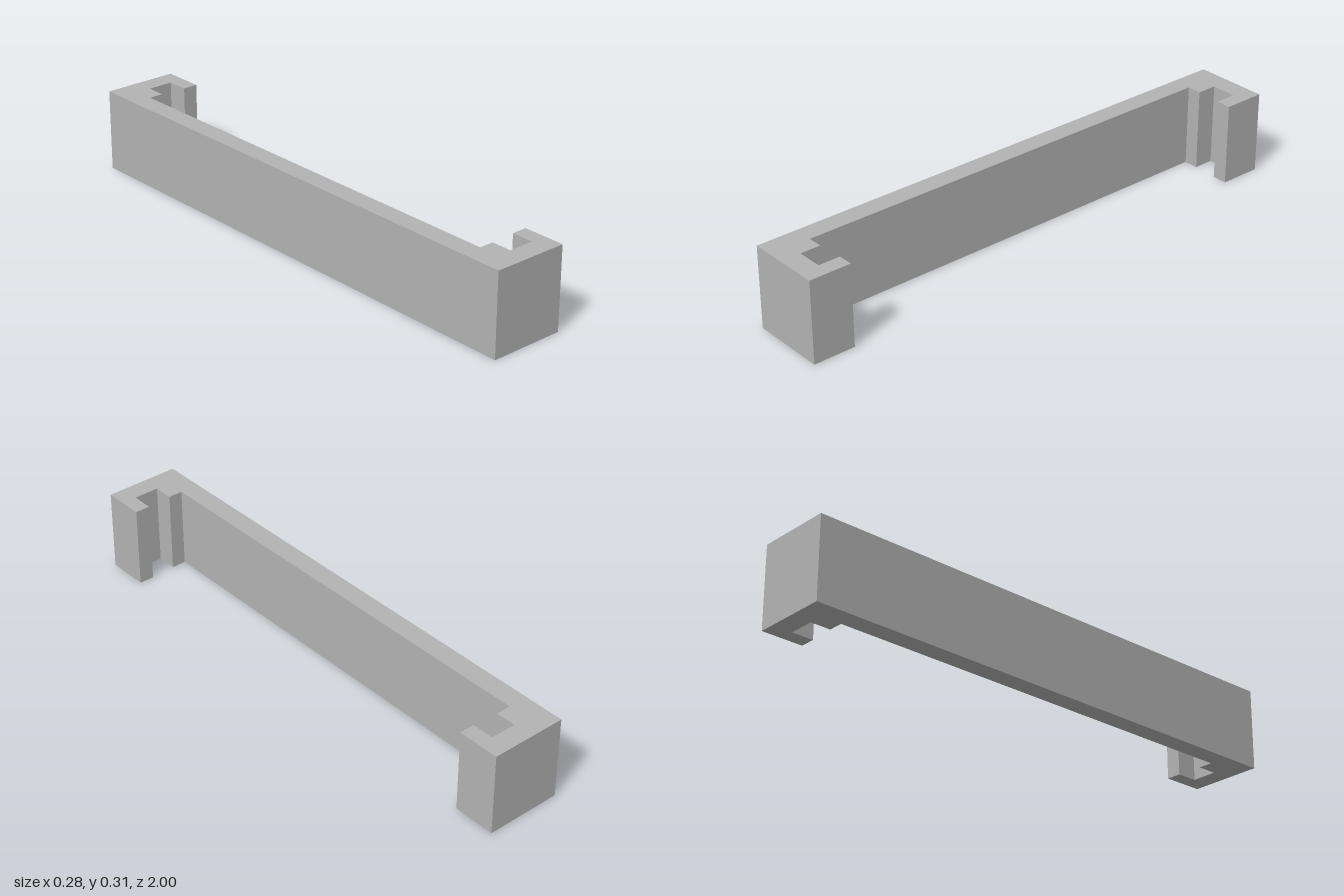
import * as THREE from 'three';

export function createModel() {
  const group = new THREE.Group();
  const grey = new THREE.MeshStandardMaterial({ color: 0xb3b3b3 });
  grey.name = 'grey';

  // Half of the plan outline: end cap, hooked lip, slot, step, inner wall face
  const half = [
    [-0.142, 1], [0.142, 1], [0.142, 0.842], [0.085, 0.842],
    [0.085, 0.924], [-0.012, 0.924], [-0.012, 0.848], [-0.067, 0.848],
  ];
  // Mirror it for the other end
  const outline = [...half, ...half.map(([x, z]) => [x, -z]).reverse()];
  const shape = new THREE.Shape(outline.map(([x, z]) => new THREE.Vector2(x, z)));

  // Raise the outline to the full height
  const geometry = new THREE.ExtrudeGeometry(shape, { depth: 0.307, bevelEnabled: false });
  geometry.rotateX(-Math.PI / 2);

  const bracket = new THREE.Mesh(geometry, grey);
  bracket.name = 'hookedBracket';
  group.add(bracket);
  return group;
}
